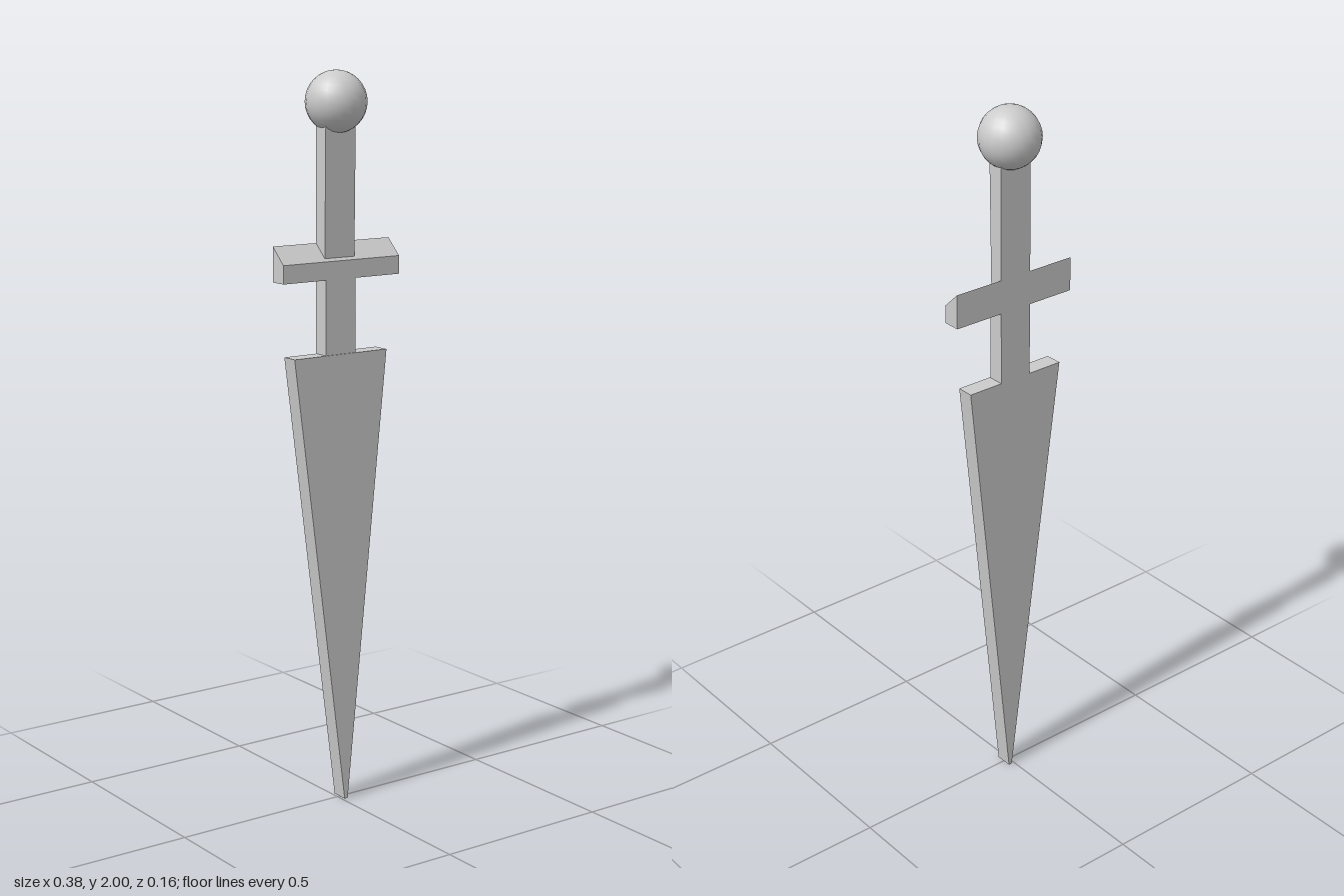
import * as THREE from 'three';

const BACK = -0.024, FRONT = 0.024;

export function createModel() {
  const model = new THREE.Group();
  const flat = new THREE.MeshStandardMaterial({ color: 0xcccccc, flatShading: true });
  const smooth = new THREE.MeshStandardMaterial({ color: 0xcccccc });

  const add = (name, geometry, material = flat) => {
    const mesh = new THREE.Mesh(geometry, material);
    mesh.name = name;
    model.add(mesh);
    return mesh;
  };
  const extrude = (points, depth) => new THREE.ExtrudeGeometry(
    new THREE.Shape(points.map(([x, y]) => new THREE.Vector2(x, y))),
    { depth, bevelEnabled: false });

  // Long tapering blade, almost a point at the bottom
  add('blade', extrude([[0.008, 0], [0.018, 0], [0.146, 1.255], [-0.155, 1.255]], FRONT - BACK))
    .position.z = BACK;

  // Flat grip, flush with the back; the upper part is slightly thinner at the guard
  const grip = [[BACK, 1.25], [0.021, 1.25], [0.021, 1.48], [0.016, 1.51], [0.021, 1.87], [BACK, 1.87]];
  const handle = add('handle', extrude(grip.map(([z, y]) => [-z, y]), 0.096));
  handle.rotation.y = Math.PI / 2;
  handle.position.x = -0.052;

  // Crossguard with a sloping top edge on the front
  const guard = [[BACK, 1.456], [FRONT, 1.456], [FRONT, 1.505], [BACK, 1.55]];
  const crossguard = add('crossguard', extrude(guard.map(([z, y]) => [-z, y]), 0.376));
  crossguard.rotation.y = Math.PI / 2;
  crossguard.position.x = -0.189;

  // Round pommel
  add('pommel', new THREE.SphereGeometry(0.082, 20, 16), smooth).position.set(-0.004, 1.918, 0);

  return model;
}
